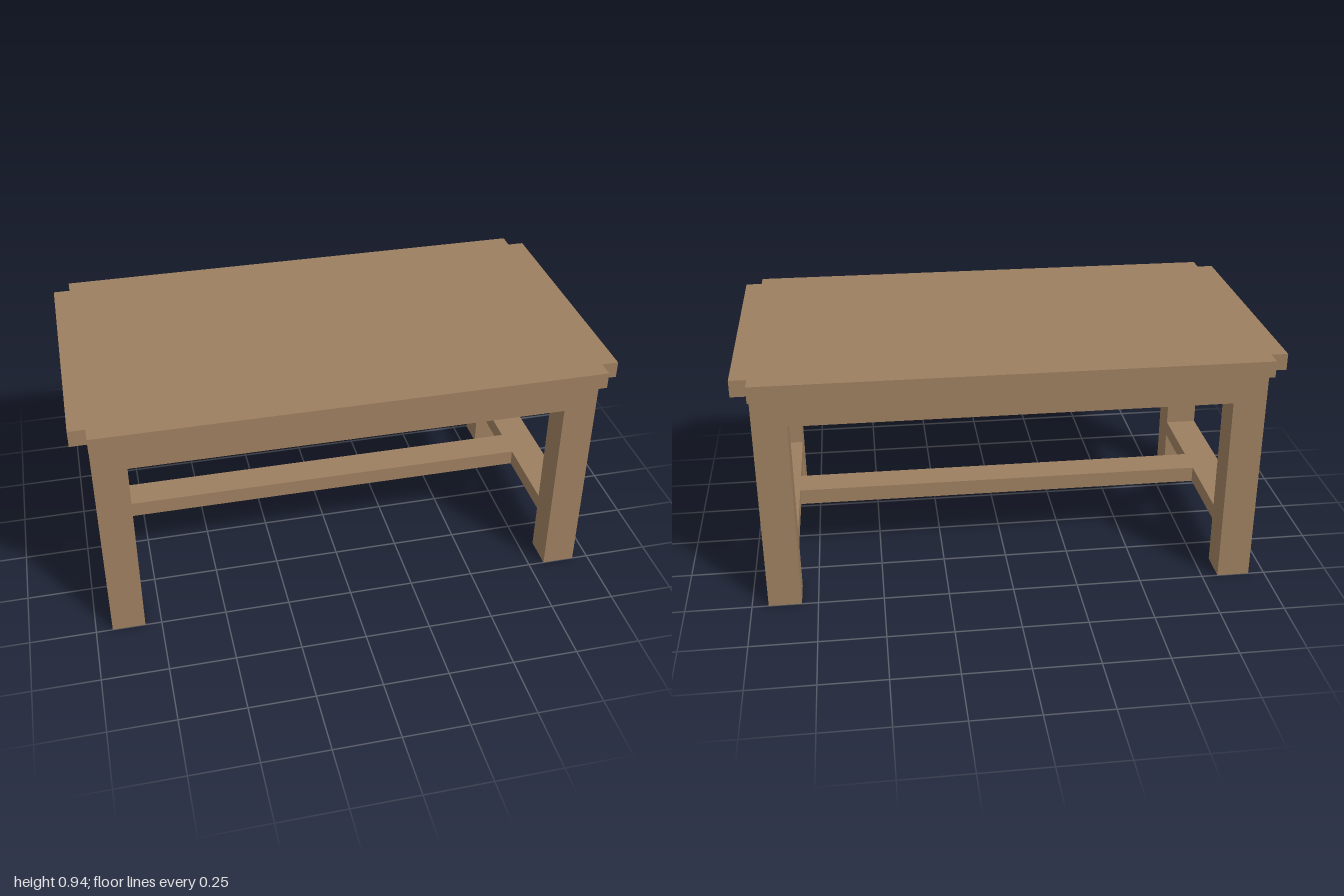
import * as THREE from 'three';

export function createModel() {
  const table = new THREE.Group();
  table.name = 'table';
  const wood = new THREE.MeshStandardMaterial({ color: 0x9d7f60 });
  wood.name = 'wood';

  const U = 0.0625; // plank thickness; every size is a multiple of it

  function add(name, geometry, x = 0, y = 0, z = 0) {
    const mesh = new THREE.Mesh(geometry, wood);
    mesh.name = name;
    mesh.position.set(x, y, z);
    table.add(mesh);
  }
  const box = (w, h, d) => new THREE.BoxGeometry(w * U, h * U, d * U);

  // Tabletop with a square notch at each corner
  const X = 16 * U, Z = 9 * U;
  const outline = new THREE.Shape([
    [X, Z - U], [X - U, Z - U], [X - U, Z],
    [U - X, Z], [U - X, Z - U], [-X, Z - U],
    [-X, U - Z], [U - X, U - Z], [U - X, -Z],
    [X - U, -Z], [X - U, U - Z], [X, U - Z],
  ].map(([x, y]) => new THREE.Vector2(x, y)));
  const top = new THREE.ExtrudeGeometry(outline, { depth: U, bevelEnabled: false });
  top.rotateX(-Math.PI / 2);
  add('tabletop', top, 0, 14 * U, 0);

  // Legs
  for (const [sx, side] of [[1, 'left'], [-1, 'right']]) {
    for (const [sz, end] of [[1, 'Front'], [-1, 'Back']]) {
      add(`${side}${end}Leg`, box(2, 14, 2), sx * 14 * U, 7 * U, sz * 7 * U);
    }
    // End apron and stretcher, flush with the outside of the legs
    add(`${side}Apron`, box(1, 2, 12), sx * 14.5 * U, 13 * U, 0);
    add(`${side}Stretcher`, box(2, 1, 12), sx * 14 * U, 3.5 * U, 0);
  }

  // Long aprons
  for (const [sz, name] of [[1, 'frontApron'], [-1, 'backApron']]) {
    add(name, box(26, 2, 1), 0, 13 * U, sz * 7.5 * U);
  }

  // Long stretcher joining the end stretchers
  add('middleStretcher', box(26, 1, 2), 0, 3.5 * U, 0);

  return table;
}
